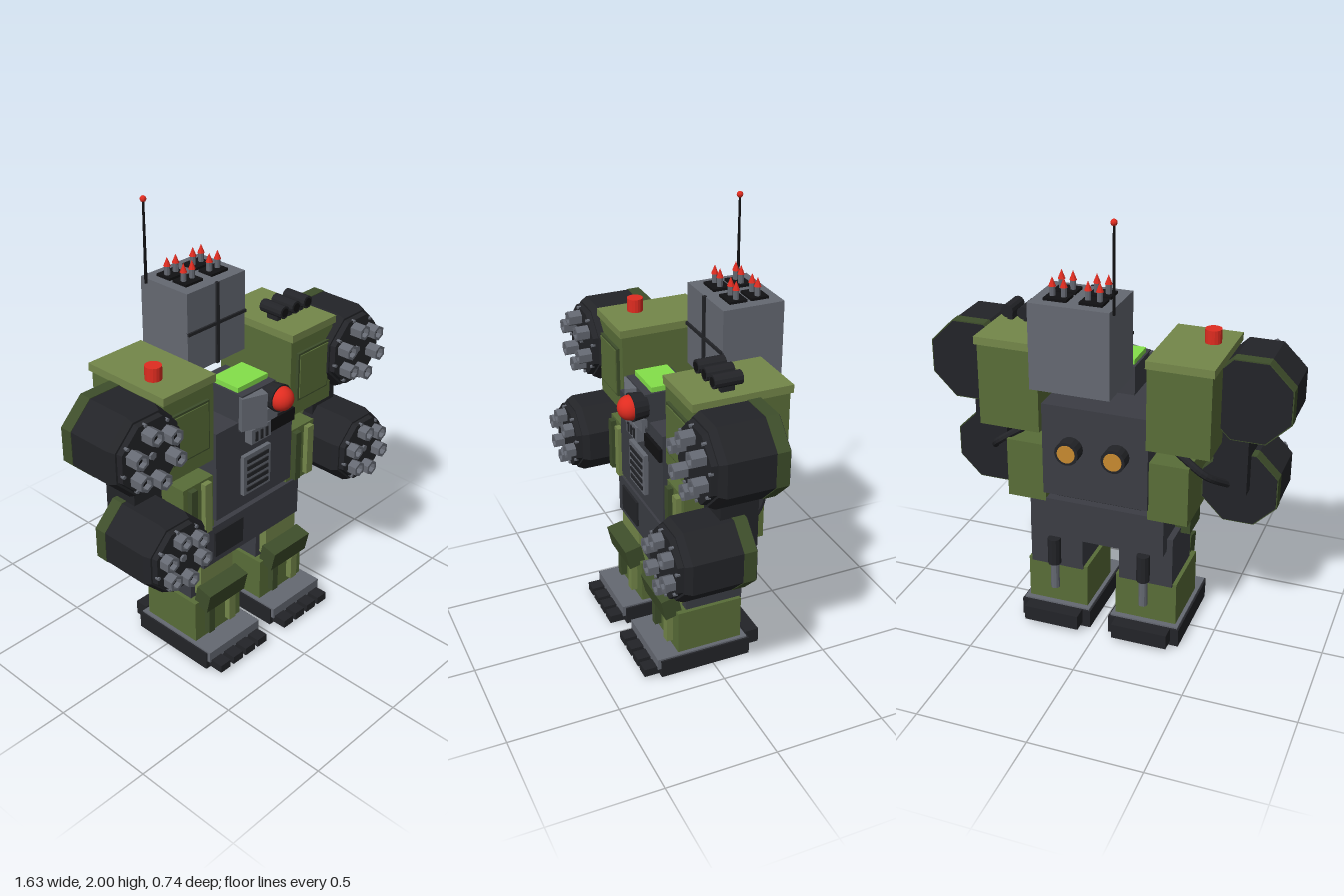
import * as THREE from 'three';

const mat = (color) => new THREE.MeshStandardMaterial({ color, flatShading: true });
const M = {
  green: mat(0x596d38), dark: mat(0x3e4e2b), light: mat(0x74874a),
  body: mat(0x3b3d44), black: mat(0x232428), coal: mat(0x111113),
  grey: mat(0x656972), red: mat(0xe02c20), lime: mat(0x84e04a), orange: mat(0xc88a30),
};

function add(parent, name, geo, m, x = 0, y = 0, z = 0) {
  const mesh = new THREE.Mesh(geo, m);
  mesh.name = name;
  mesh.position.set(x, y, z);
  parent.add(mesh);
  return mesh;
}
// box given by its extents on each axis
function box(parent, name, m, x0, x1, y0, y1, z0, z1) {
  const geo = new THREE.BoxGeometry(Math.abs(x1 - x0), y1 - y0, z1 - z0);
  return add(parent, name, geo, m, (x0 + x1) / 2, (y0 + y1) / 2, (z0 + z1) / 2);
}
// cylinder lying along z, from z0 to z1
function cylZ(parent, name, m, r0, r1, x, y, z0, z1, sides, turn = 0) {
  const geo = new THREE.CylinderGeometry(r1, r0, z1 - z0, sides).rotateY(turn).rotateX(Math.PI / 2);
  return add(parent, name, geo, m, x, y, (z0 + z1) / 2);
}
const cyl = (r0, r1, h, sides) => new THREE.CylinderGeometry(r1, r0, h, sides);
const group = (parent, name) => {
  const g = new THREE.Group();
  g.name = name;
  parent.add(g);
  return g;
};

function leg(root, s) {
  const g = group(root, s > 0 ? 'leftLeg' : 'rightLeg');
  const cx = s * 0.212;
  // foot with toes and heel
  box(g, 'sole', M.black, cx - 0.168, cx + 0.168, 0, 0.085, -0.18, 0.25);
  box(g, 'footPlate', M.grey, cx - 0.16, cx + 0.16, 0.04, 0.093, -0.17, 0.265);
  box(g, 'heel', M.black, cx - 0.13, cx + 0.13, 0.02, 0.09, -0.245, -0.18);
  for (let i = 0; i < 4; i++) {
    const x = cx - 0.12 + i * 0.08;
    box(g, 'toe', M.black, x - 0.03, x + 0.03, 0.012, 0.05, 0.25, 0.325);
  }
  // shin with two front ribs
  box(g, 'shin', M.green, cx - 0.143, cx + 0.143, 0.09, 0.3, -0.145, 0.16);
  box(g, 'shinRib', M.dark, cx - 0.085, cx - 0.05, 0.12, 0.28, 0.15, 0.19);
  box(g, 'shinRib', M.light, cx + 0.045, cx + 0.085, 0.12, 0.28, 0.15, 0.19);
  // knee and thigh
  const knee = box(g, 'kneeGuard', M.dark, cx - 0.12, cx + 0.12, 0.275, 0.375, 0.14, 0.22);
  knee.rotation.x = 0.22;
  box(g, 'thigh', M.body, cx - 0.125, cx + 0.125, 0.29, 0.535, -0.155, 0.115);
  box(g, 'thighPlate', M.light, cx - 0.1, cx + 0.1, 0.32, 0.475, 0.11, 0.155);
  // calf piston
  add(g, 'pistonSleeve', cyl(0.03, 0.03, 0.13, 10), M.black, cx, 0.385, -0.185);
  add(g, 'pistonRod', cyl(0.02, 0.02, 0.16, 10), M.grey, cx, 0.27, -0.182);
}

// eight-sided launcher with six hexagonal barrels, front end at z = 0
function pod(root, name, x, y, z, r, back, reach) {
  const g = group(root, name);
  g.position.set(x, y, z);
  const R = r / Math.cos(Math.PI / 8), t = Math.PI / 8;
  cylZ(g, 'podBody', M.black, R * 0.985, R * 0.985, 0, 0, -back + 0.055, -0.03, 8, t);
  cylZ(g, 'podChamfer', M.black, R * 0.985, R * 0.9, 0, 0, -0.03, 0, 8, t);
  cylZ(g, 'podBand', M.dark, R, R, 0, 0, -back + 0.004, -back + 0.06, 8, t);
  cylZ(g, 'podBackPlate', M.black, R * 0.97, R * 0.97, 0, 0, -back, -back + 0.01, 8, t);
  cylZ(g, 'podFace', M.black, R * 0.86, R * 0.83, 0, 0, -0.01, 0.025, 8, t);
  cylZ(g, 'hub', M.grey, 0.017, 0.017, 0, 0, 0, 0.035, 6);
  for (let i = 0; i < 8; i++) {
    const a = (i * Math.PI) / 4 + 0.2;
    cylZ(g, 'rimBolt', M.grey, 0.008, 0.008, Math.cos(a) * r * 0.83, Math.sin(a) * r * 0.83, 0.015, 0.033, 6);
  }
  const tube = [[0.036, 0], [0.036, reach], [0.023, reach], [0.023, reach - 0.03]];
  const barrel = new THREE.LatheGeometry(tube.map((p) => new THREE.Vector2(...p)), 6).rotateX(Math.PI / 2);
  for (let i = 0; i < 6; i++) {
    const a = (i * Math.PI) / 3 + 0.7;
    const bx = Math.cos(a) * r * 0.59, by = Math.sin(a) * r * 0.59;
    add(g, 'barrel', barrel, M.grey, bx, by, 0);
    cylZ(g, 'barrelBore', M.coal, 0.025, 0.025, bx, by, 0.01, reach - 0.025, 6);
  }
}

function side(root, s) {
  const g = group(root, s > 0 ? 'leftArm' : 'rightArm');
  // flank armour with ribs
  box(g, 'flankArmor', M.green, s * 0.235, s * 0.415, 0.65, 0.925, -0.21, 0.16);
  const fx = s * 0.33;
  box(g, 'flankRib', M.dark, fx - 0.06, fx - 0.025, 0.67, 0.915, 0.15, 0.185);
  box(g, 'flankRib', M.light, fx + 0.02, fx + 0.06, 0.67, 0.915, 0.15, 0.185);
  box(g, 'hipFlank', M.dark, s * 0.3, s * 0.38, 0.51, 0.64, -0.04, 0.11);
  // shoulder block
  box(g, 'shoulder', M.green, s * 0.24, s * 0.515, 1.005, 1.385, -0.255, 0.165);
  box(g, 'shoulderCap', M.light, s * 0.235, s * 0.525, 1.375, 1.41, -0.265, 0.175);
  box(g, 'shoulderPanel', M.dark, s * 0.275, s * 0.48, 1.08, 1.31, 0.16, 0.178);
  box(g, 'shoulderPanelFace', M.green, s * 0.285, s * 0.47, 1.09, 1.3, 0.17, 0.183);
  // bracket joining both launchers
  box(g, 'podBracket', M.black, s * 0.48, s * 0.63, 0.77, 1.24, -0.07, 0.1);
  pod(g, 'upperPod', s * 0.631, 1.22, 0.19, 0.182, 0.295, 0.085);
  pod(g, 'lowerPod', s * 0.584, 0.765, 0.3, 0.168, 0.31, 0.07);
  // feed hose
  const path = [[0.22, 1.02, -0.1], [0.35, 0.97, -0.16], [0.47, 0.89, -0.17], [0.55, 0.8, -0.05]];
  const curve = new THREE.CatmullRomCurve3(path.map((p) => new THREE.Vector3(s * p[0], p[1], p[2])));
  add(g, 'feedHose', new THREE.TubeGeometry(curve, 20, 0.017, 8), M.black);
}

function head(root) {
  const g = group(root, 'head');
  box(g, 'skull', M.body, -0.105, 0.1, 1.09, 1.262, -0.01, 0.2);
  box(g, 'headTop', M.lime, -0.095, 0.09, 1.258, 1.285, 0.015, 0.165);
  const visor = box(g, 'facePlate', M.grey, -0.11, 0.01, 1.1, 1.255, 0.18, 0.23);
  visor.rotation.y = -0.35;
  box(g, 'cheek', M.grey, 0.0, 0.1, 1.09, 1.15, 0.19, 0.215);
  cylZ(g, 'eyeSocket', M.black, 0.055, 0.063, 0.075, 1.205, 0.19, 0.255, 16);
  const eyeMat = new THREE.MeshStandardMaterial({ color: 0xe02c20 });
  add(g, 'eye', new THREE.SphereGeometry(0.055, 20, 14), eyeMat, 0.075, 1.205, 0.257);
}

function rocketBox(root) {
  const g = group(root, 'rocketBox');
  box(g, 'casing', M.grey, -0.125, 0.225, 1.26, 1.635, -0.372, -0.095);
  box(g, 'verticalStrap', M.black, 0.042, 0.058, 1.26, 1.637, -0.1, -0.085);
  box(g, 'crossStrap', M.black, -0.125, 0.225, 1.443, 1.457, -0.1, -0.086);
  for (const x of [-0.028, 0.125]) for (const z of [-0.285, -0.187]) {
    box(g, 'rocketCell', M.coal, x - 0.05, x + 0.05, 1.63, 1.646, z - 0.04, z + 0.04);
    for (const d of [-0.025, 0.025]) {
      add(g, 'rocket', cyl(0.013, 0.013, 0.05, 8), M.grey, x + d, 1.665, z);
      add(g, 'rocketTip', new THREE.ConeGeometry(0.016, 0.04, 8), M.red, x + d, 1.705, z);
    }
  }
  add(g, 'antenna', cyl(0.007, 0.005, 0.37, 8), M.coal, -0.13, 1.8, -0.335);
  add(g, 'antennaTip', new THREE.SphereGeometry(0.014, 10, 8), M.red, -0.13, 1.986, -0.335);
}

export function createModel() {
  const root = new THREE.Group();
  root.name = 'walker';
  for (const s of [-1, 1]) {
    leg(root, s);
    side(root, s);
    // exhausts on the back
    cylZ(root, 'exhaust', M.black, 0.054, 0.054, s * 0.105, 0.94, -0.285, -0.2, 16);
    cylZ(root, 'exhaustGlow', M.orange, 0.041, 0.041, s * 0.105, 0.94, -0.289, -0.28, 16);
  }

  // hips, waist and torso
  box(root, 'hips', M.body, -0.31, 0.31, 0.475, 0.665, -0.21, 0.17);
  box(root, 'hipPlate', M.black, -0.245, -0.07, 0.51, 0.635, 0.165, 0.18);
  box(root, 'waist', M.black, -0.2, 0.2, 0.65, 0.72, -0.17, 0.14);
  box(root, 'torso', M.body, -0.24, 0.24, 0.7, 1.13, -0.225, 0.18);

  // chest grille
  box(root, 'grille', M.grey, -0.09, 0.08, 0.765, 0.96, 0.17, 0.2);
  for (let i = 0; i < 5; i++) {
    const y = 0.79 + i * 0.035;
    box(root, 'grilleSlot', M.black, -0.072, 0.062, y - 0.009, y + 0.009, 0.19, 0.205);
  }
  box(root, 'collarVent', M.grey, -0.065, 0.055, 1.02, 1.09, 0.17, 0.22);
  for (const x of [-0.037, -0.005, 0.027]) {
    box(root, 'collarVentSlot', M.black, x - 0.007, x + 0.007, 1.03, 1.075, 0.21, 0.225);
  }
  box(root, 'chestPlate', M.coal, 0.075, 0.24, 1.01, 1.07, 0.17, 0.195);

  head(root);
  rocketBox(root);

  // beacon on one shoulder, smoke tubes on the other
  add(root, 'beacon', cyl(0.036, 0.036, 0.065, 16), M.red, -0.435, 1.438, 0.025);
  for (const x of [0.31, 0.386, 0.462]) {
    cylZ(root, 'smokeTube', M.black, 0.029, 0.029, x, 1.458, -0.06, 0.063, 12);
    cylZ(root, 'smokeTubeBore', M.coal, 0.02, 0.02, x, 1.458, 0.06, 0.065, 12);
    box(root, 'smokeTubeFoot', M.black, x - 0.012, x + 0.012, 1.405, 1.44, -0.03, 0.03);
  }
  return root;
}
